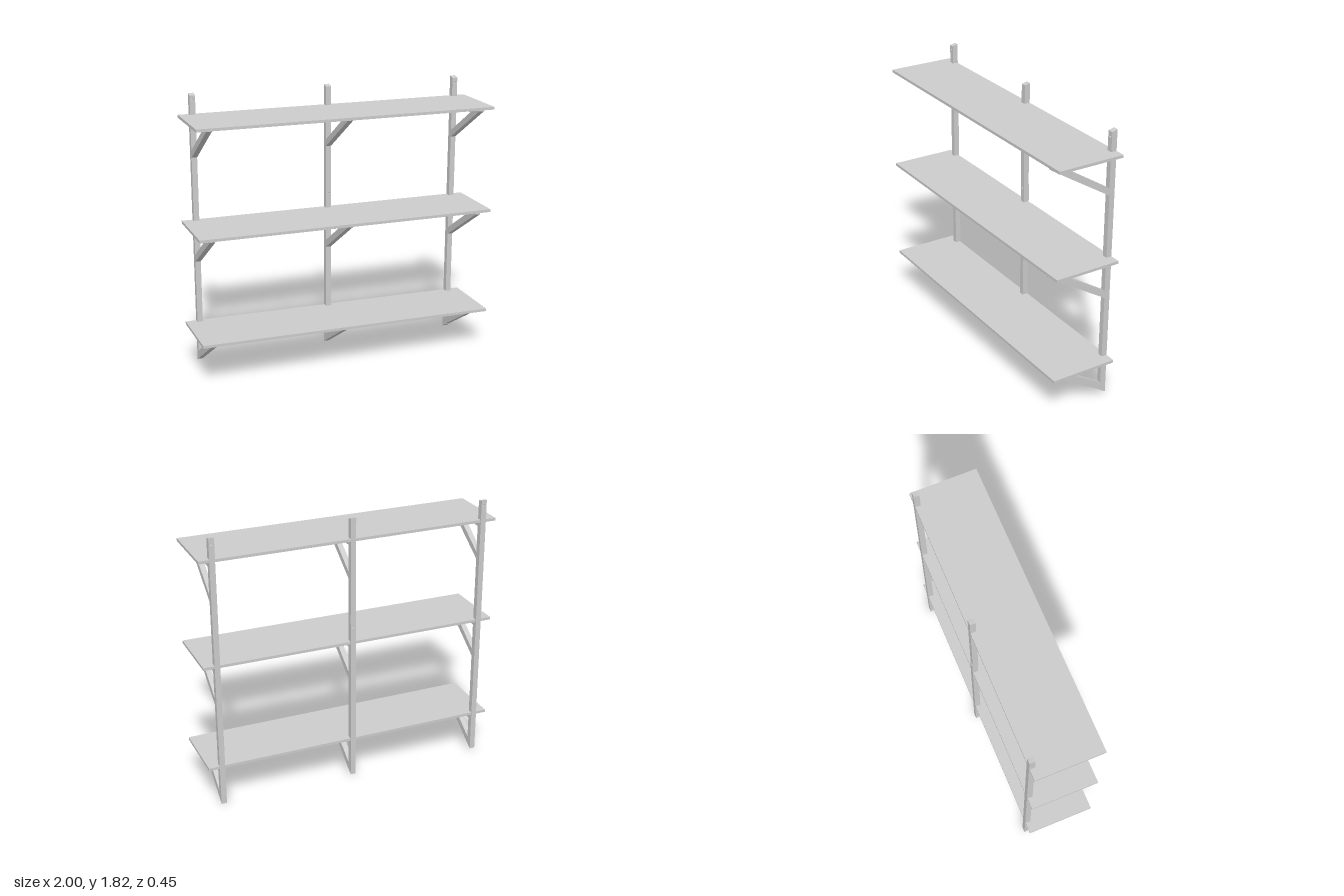
import * as THREE from 'three';

const material = new THREE.MeshStandardMaterial({ color: 0xcccccc, flatShading: true });
const W = 0.036;                       // timber width
const BACK = -0.228, FRONT = -0.19;    // back and front faces of the posts

function addMesh(parent, geometry, name) {
  const mesh = new THREE.Mesh(geometry, material);
  mesh.name = name;
  parent.add(mesh);
  return mesh;
}

function polygon(Type, points) {
  return new Type(points.map(([x, y]) => new THREE.Vector2(x, y)));
}

// Upright with an optional screw hole, mitred foot and slightly sloped top
function postGeometry(y0, y1, holeY, footRise) {
  const shape = polygon(THREE.Shape, [[-W / 2, y0], [W / 2, y0], [W / 2, y1], [-W / 2, y1]]);
  if (holeY) {
    const hole = new THREE.Path();
    hole.absarc(0, holeY, 0.007, 0, Math.PI * 2, true);
    shape.holes.push(hole);
  }
  const geometry = new THREE.ExtrudeGeometry(shape, { depth: FRONT - BACK, bevelEnabled: false, curveSegments: 8 });
  geometry.translate(0, 0, BACK);
  const p = geometry.attributes.position;
  for (let i = 0; i < p.count; i++) {
    if (p.getZ(i) < (BACK + FRONT) / 2) continue;
    if (Math.abs(p.getY(i) - y0) < 1e-4) p.setY(i, y0 + footRise);
    if (Math.abs(p.getY(i) - y1) < 1e-4) p.setY(i, y1 - 0.01);
  }
  geometry.computeVertexNormals();
  return geometry;
}

// Triangular bracket: outline in the z-y plane with a triangular opening
function bracketGeometry({ tip, top, foot, open, openTop, openFoot }) {
  const shape = polygon(THREE.Shape, [[FRONT, foot], [tip, top - 0.008], [tip, top], [FRONT, top]]);
  shape.holes.push(polygon(THREE.Path, [[FRONT + 0.001, openFoot], [FRONT + 0.001, openTop], [open, openTop]]));
  const geometry = new THREE.ExtrudeGeometry(shape, { depth: W, bevelEnabled: false });
  geometry.translate(0, 0, -W / 2);
  return geometry.rotateY(-Math.PI / 2);
}

const brackets = [
  { tip: 0.19, top: 0.262, foot: 0.027, open: 0.055, openTop: 0.228, openFoot: 0.08 },
  { tip: 0.225, top: 0.967, foot: 0.703, open: 0.095, openTop: 0.93, openFoot: 0.752 },
  { tip: 0.22, top: 1.662, foot: 1.4, open: 0.095, openTop: 1.625, openFoot: 1.447 },
];

// Each frame stands a touch out of true
const frames = [
  { name: 'rightFrame', x: -0.91, y: 0.013, lean: 0, yaw: -0.018, posts: [[0.004, 1.808, 1.772, 0.023]] },
  { name: 'middleFrame', x: -0.008, y: 0.01, lean: 0.003, yaw: -0.012,
    posts: [[0.004, 1.105, 1.077, 0.023], [1.095, 1.808, 0, 0]] },
  { name: 'leftFrame', x: 0.899, y: 0, lean: 0.005, yaw: -0.012, posts: [[0, 1.815, 1.772, 0.023]] },
];

// Shelf heights at the right and left ends
const shelves = [
  { right: 0.289, left: 0.268, end: 0.99 },
  { right: 0.985, left: 0.975, end: 0.995 },
  { right: 1.68, left: 1.67, end: 0.995 },
];

export function createModel() {
  const model = new THREE.Group();
  model.name = 'wallShelf';

  // Upright frames: post plus three brackets
  for (const f of frames) {
    const frame = new THREE.Group();
    frame.name = f.name;
    frame.position.set(f.x, f.y, 0);
    frame.rotation.z = -f.lean;
    f.posts.forEach((p, i) => {
      addMesh(frame, postGeometry(...p), 'post').position.z = i * 0.003;
    });
    for (const b of brackets) {
      const bracket = addMesh(frame, bracketGeometry(b), 'bracket');
      bracket.rotation.y = f.yaw;
      bracket.position.x = FRONT * -f.yaw;
    }
    model.add(frame);
  }

  // Long boards, tilted slightly along their length
  for (const s of shelves) {
    const length = 1 + s.end;
    const board = addMesh(model, new THREE.BoxGeometry(length, 0.018, 0.45), 'shelf');
    board.position.set((s.end - 1) / 2, (s.left + s.right) / 2, 0);
    board.rotation.set(0, 0.002, Math.atan2(s.left - s.right, length));
  }
  return model;
}
